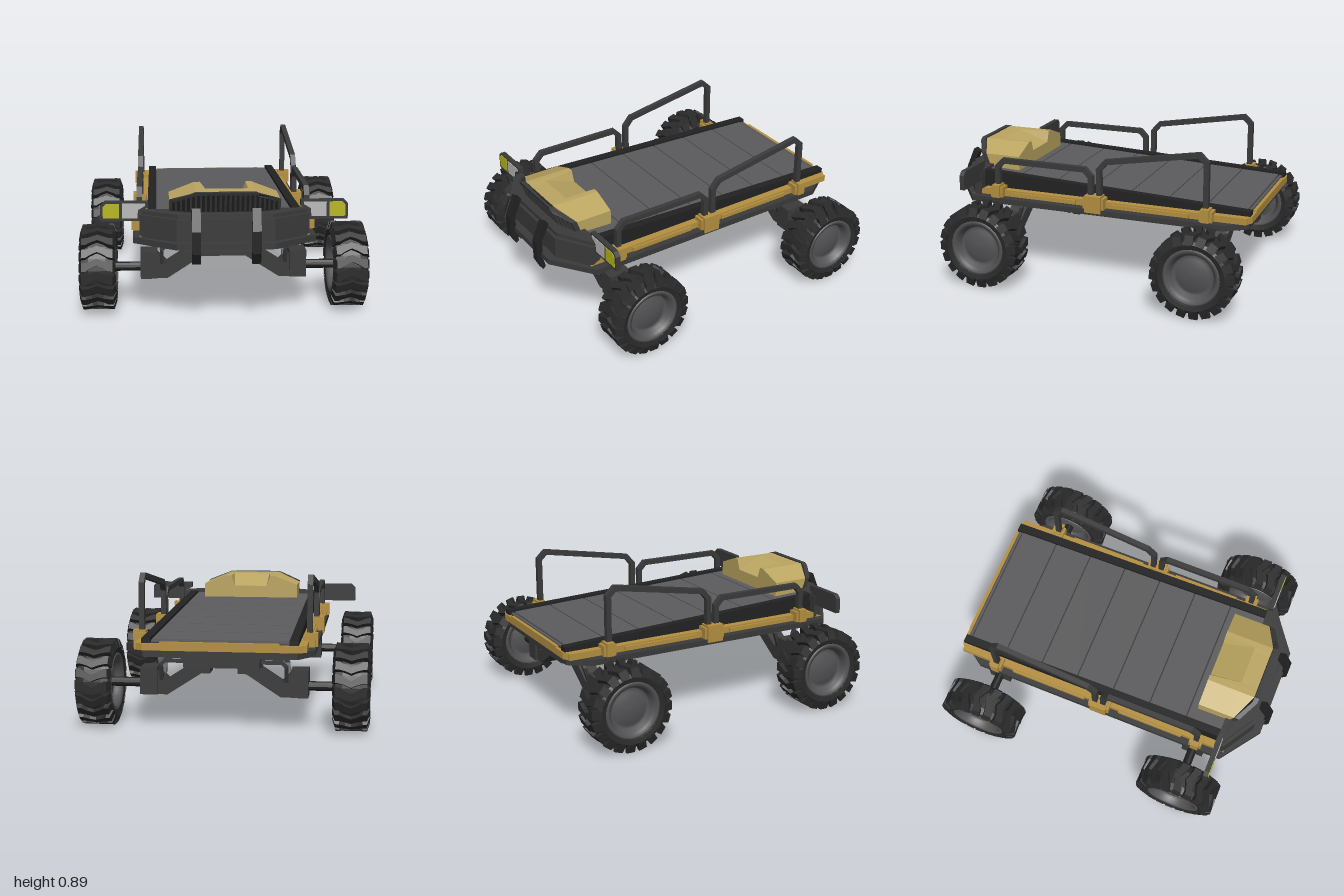
import * as THREE from 'three';

const paint = (color, flat = true) =>
  new THREE.MeshStandardMaterial({ color, flatShading: flat });
const M = {
  dark: paint(0x3a3a3b), black: paint(0x222222), grey: paint(0x5c5c5e), gold: paint(0xb59040),
  hood: paint(0xbca661), yellow: paint(0xb8b81e), white: paint(0xbababa),
  tire: paint(0x2a2a2a), hub: paint(0x545456, false),
};

function add(parent, name, geo, mat, x = 0, y = 0, z = 0) {
  const m = new THREE.Mesh(geo, mat);
  m.name = name;
  m.position.set(x, y, z);
  parent.add(m);
  return m;
}
// Box given by its limits
function block(parent, name, mat, x0, x1, y0, y1, z0, z1) {
  return add(parent, name, new THREE.BoxGeometry(Math.abs(x1 - x0), y1 - y0, z1 - z0), mat,
    (x0 + x1) / 2, (y0 + y1) / 2, (z0 + z1) / 2);
}
const shapeOf = pts => new THREE.Shape(pts.map(p => new THREE.Vector2(...p)));
const mirrored = half => [...half, ...half.map(([x, y]) => [-x, y]).reverse()];
const extrude = (pts, depth, steps = 1) =>
  new THREE.ExtrudeGeometry(shapeOf(pts), { depth, steps, bevelEnabled: false });
// Plan outline of [x, z] points raised in y
function slab(parent, name, mat, pts, y0, y1) {
  const geo = extrude(pts.map(([x, z]) => [x, -z]), y1 - y0).rotateX(-Math.PI / 2);
  return add(parent, name, geo, mat, 0, y0, 0);
}
// Square bent bar: one box per straight run, overlapping at the bends
function bar(parent, name, mat, pts, width) {
  const g = new THREE.Group();
  g.name = name;
  const v = pts.map(p => new THREE.Vector3(...p));
  for (let i = 0; i + 1 < v.length; i++) {
    const d = v[i + 1].clone().sub(v[i]);
    const m = add(g, name + 'Run', new THREE.BoxGeometry(width, d.length() + width * 0.4, width), mat);
    m.position.copy(v[i]).addScaledVector(d, 0.5);
    m.quaternion.setFromUnitVectors(new THREE.Vector3(0, 1, 0), d.normalize());
  }
  parent.add(g);
}
// The deck falls gently to the rear
const deckTop = z => 0.6 + 0.042 * z;
function slopedBox(parent, name, mat, x0, x1, z0, z1, bottom, drop) {
  const geo = new THREE.BoxGeometry(x1 - x0, 1, z1 - z0);
  geo.translate((x0 + x1) / 2, 0, (z0 + z1) / 2);
  const p = geo.attributes.position;
  for (let i = 0; i < p.count; i++) p.setY(i, p.getY(i) > 0 ? deckTop(p.getZ(i)) - drop : bottom);
  geo.computeVertexNormals();
  return add(parent, name, geo, mat);
}

function makeWheel() {
  const wheel = new THREE.Group();
  wheel.name = 'wheel';
  const lathe = (half, n) => new THREE.LatheGeometry(
    [...half.map(([r, h]) => new THREE.Vector2(r, -h)),
      ...half.slice().reverse().map(([r, h]) => new THREE.Vector2(r, h))], n).rotateZ(-Math.PI / 2);
  add(wheel, 'tire', lathe([[0.16, 0.08], [0.172, 0.097], [0.2, 0.103], [0.218, 0.09], [0.228, 0.05]], 40), M.tire);
  add(wheel, 'hub', lathe([[0, 0.066], [0.05, 0.063], [0.1, 0.052], [0.122, 0.04],
    [0.126, 0.06], [0.135, 0.068], [0.14, 0.09], [0.158, 0.1], [0.17, 0.098], [0.172, 0.08]], 32), M.hub);
  // Chunky chevron lugs that wrap over both shoulders
  const geo = new THREE.BoxGeometry(0.2, 0.05, 0.046, 6, 1, 1).translate(0, 0.227, 0);
  const p = geo.attributes.position;
  for (let i = 0; i < p.count; i++) {
    const x = p.getX(i), a = Math.abs(x), top = p.getY(i) > 0.227;
    p.setZ(i, p.getZ(i) * (a < 0.05 ? 0.85 : 1.1) + Math.min(a, 0.07) * 0.45 - 0.016);
    if (a > 0.09) p.setX(i, Math.sign(x) * (top ? 0.09 : 0.107));
  }
  const n = 20;
  for (let i = 0; i < n; i++) add(wheel, 'treadLug', geo, M.tire).rotation.x = (i / n) * Math.PI * 2;
  return wheel;
}

export function createModel() {
  const car = new THREE.Group();
  car.name = 'buggy';

  // Chassis plate, belly and lower spine
  slab(car, 'chassisPlate', M.dark,
    mirrored([[0.28, 0.97], [0.53, 0.79], [0.53, -0.84], [0.44, -0.97]]), 0.45, 0.485);
  add(car, 'belly', extrude(mirrored([[0.12, 0.32], [0.23, 0.37], [0.23, 0.45]]), 0.61), M.dark, 0, 0, -0.31);
  block(car, 'spine', M.dark, -0.22, 0.22, 0.38, 0.45, -0.9, 0.74);
  for (const y of [0.375, 0.41, 0.44])
    block(car, 'noseBar', M.dark, -0.235, 0.235, y - 0.011, y + 0.011, 0.68, 0.78);

  // Sloping deck with planks and edge rails
  slopedBox(car, 'deckBody', M.dark, -0.44, 0.44, -0.97, 0.78, 0.48, 0.024);
  const step = 0.243;
  for (let i = 0; i < 7; i++) {
    const z0 = -0.946 + i * step;
    slopedBox(car, 'deckPlank', M.grey, -0.392, 0.392, z0 + 0.004, Math.min(z0 + step - 0.004, 0.76), 0.5, 0.012);
  }
  slopedBox(car, 'tailPlank', M.grey, -0.392, 0.392, -0.965, -0.95, 0.5, 0.016);

  // Gold trim across the tail
  slab(car, 'tailTrim', M.gold, mirrored([[0.44, -0.99], [0.485, -0.965], [0.485, -0.93], [0.44, -0.96]]), 0.49, 0.53);
  block(car, 'tailTrimLip', M.gold, -0.34, 0.34, 0.495, 0.54, -0.99, -0.97);

  for (const s of [-1, 1]) {
    slopedBox(car, 'deckEdge', M.black, s * 0.42 - 0.025, s * 0.42 + 0.025, -0.98, 0.75, 0.485, 0);

    // Gold side trim with tapered nose
    const trim = extrude([[-0.97, 0.49], [0.8, 0.49], [0.72, 0.53], [-0.97, 0.53]], 0.05).rotateY(-Math.PI / 2);
    add(car, 'sideTrim', trim, M.gold, s * 0.465 + 0.025);
    for (const [z0, z1] of [[0.1, 0.52], [-0.62, -0.13]])
      block(car, 'sideTrimPad', M.gold, s * 0.48, s * 0.502, 0.495, 0.52, z0, z1);

    // Clamps that hold the hand rails
    for (const [z, w, y0] of [[0.62, 0.08, 0.49], [-0.025, 0.135, 0.465], [-0.73, 0.08, 0.49]]) {
      block(car, 'clamp', M.gold, s * 0.455, s * 0.525, y0, 0.555, z - w / 2, z + w / 2);
      block(car, 'clampCap', M.gold, s * 0.465, s * 0.54, y0, 0.57, z - w / 2 + 0.015, z + w / 2 - 0.015);
    }

    // Hand rails
    const x = s * 0.492;
    const rail = pts => bar(car, 'handRail', M.dark, pts.map(([z, y]) => [x, y, z]), 0.032);
    rail([[0.62, 0.5], [0.62, 0.68], [0.58, 0.722], [0.04, 0.722], [0, 0.68], [0, 0.5]]);
    rail([[-0.055, 0.5], [-0.055, 0.73], [-0.1, 0.782], [-0.68, 0.883], [-0.725, 0.84], [-0.725, 0.5]]);

    // Head lamp cluster
    const flip = pts => pts.map(([px, py]) => [px * s, py]);
    const lamp = (name, mat, pts, z, d) => add(car, name, extrude(flip(pts), d), mat, 0, 0, z);
    lamp('lampHousing', M.dark, [[0.44, 0.69], [0.44, 0.655], [0.485, 0.63], [0.49, 0.575], [0.715, 0.575], [0.715, 0.665], [0.69, 0.69]], 0.74, 0.03);
    lamp('indicator', M.yellow, [[0.607, 0.592], [0.7, 0.592], [0.7, 0.658], [0.682, 0.678], [0.607, 0.678]], 0.768, 0.006);
    lamp('headLamp', M.white, [[0.503, 0.592], [0.59, 0.592], [0.59, 0.678], [0.458, 0.678], [0.458, 0.664], [0.498, 0.64]], 0.768, 0.006);
    block(car, 'lampBracket', M.dark, s * 0.4, s * 0.5, 0.59, 0.63, 0.735, 0.765);

    // Bull bar, bowed forward
    const bull = extrude([[0.91, 0.665], [0.945, 0.685], [0.998, 0.56], [0.998, 0.43], [0.965, 0.365],
      [0.945, 0.38], [0.96, 0.44], [0.96, 0.56]].map(([z, y]) => [-z, y]), 0.05).rotateY(Math.PI / 2);
    add(car, 'bullBar', bull, M.black, s * 0.17 - 0.025);

    // Suspension arms, struts, axles and wheels
    for (const z of [0.605, -0.745]) {
      add(car, 'suspensionArm', extrude(flip([[0.08, 0.33], [0.13, 0.33], [0.33, 0.2], [0.42, 0.2], [0.42, 0.34], [0.39, 0.34],
        [0.335, 0.285], [0.22, 0.36], [0.2, 0.4], [0.08, 0.4]]), 0.11), M.dark, 0, 0, z - 0.055);
      block(car, 'axleHousing', M.dark, s * 0.39, s * 0.49, 0.2, 0.36, z - 0.07, z + 0.07);
      for (const dz of [-0.075, 0.075])
        bar(car, 'strut', M.dark, [[s * 0.18, 0.405, z + dz], [s * 0.34, 0.405, z + dz],
          [s * 0.365, 0.38, z + dz], [s * 0.365, 0.29, z + dz * 0.6]], 0.022);
      const axle = new THREE.CylinderGeometry(0.028, 0.028, 0.25, 12).rotateZ(Math.PI / 2);
      add(car, 'axle', axle, M.black, s * 0.575, 0.26, z);
      const wheel = makeWheel();
      wheel.position.set(s * 0.738, 0.26, z);
      wheel.scale.x = s;
      car.add(wheel);
    }
  }

  // Bumper
  slab(car, 'bumper', M.dark, mirrored([[0.28, 0.92], [0.49, 0.79], [0.49, 0.74]]), 0.48, 0.615);
  slab(car, 'bumperTop', M.dark, mirrored([[0.27, 0.9], [0.475, 0.775], [0.475, 0.74]]), 0.61, 0.638);

  // Nose rule: corners swept back, face leaning out toward the top
  const nose = (x, y) => -Math.max(0, Math.abs(x) - 0.2) * 0.42 + (y - 0.758) * 0.35;

  // Hood with a ramp falling to a notch at the rear
  const hoodGeo = extrude(mirrored([[0.32, 0.58], [0.32, 0.7], [0.17, 0.758], [0.135, 0.758], [0.11, 0.69]]), 0.3, 2);
  const hp = hoodGeo.attributes.position;
  for (let i = 0; i < hp.count; i++) {
    const x = hp.getX(i), z = hp.getZ(i);
    if (z < 0.1) continue;
    if (Math.abs(x) < 0.12) hp.setY(i, 0.757);
    hp.setZ(i, z > 0.2 ? 0.3 + nose(x, hp.getY(i)) : 0.195);
  }
  hoodGeo.computeVertexNormals();
  add(car, 'hood', hoodGeo, M.hood, 0, 0, 0.56);

  // Grille panel with frame and slats on the nose
  const outline = [[0.32, 0.62], [0.32, 0.705], [0.2, 0.75], [0.17, 0.762]];
  const inner = [[0.303, 0.63], [0.303, 0.693], [0.2, 0.732], [0.165, 0.745]];
  const bend = geo => {
    const p = geo.attributes.position;
    for (let i = 0; i < p.count; i++) p.setZ(i, p.getZ(i) + nose(p.getX(i), p.getY(i)));
    geo.computeVertexNormals();
    return geo;
  };
  const frame = shapeOf(mirrored(outline));
  frame.holes.push(new THREE.Path(mirrored(inner).map(p => new THREE.Vector2(...p))));
  add(car, 'grilleFrame', bend(new THREE.ExtrudeGeometry(frame, { depth: 0.03, bevelEnabled: false })), M.dark, 0, 0, 0.862);
  // Back panel in three facets so it follows the swept corners
  const facets = [mirrored([[0.2, 0.62], [0.2, 0.75], [0.17, 0.762]]),
    ...[-1, 1].map(s => [[0.2, 0.62], [0.32, 0.62], [0.32, 0.705], [0.2, 0.75]].map(([x, y]) => [s * x, y]))];
  for (const f of facets) add(car, 'grilleBack', bend(extrude(f, 0.014)), M.black, 0, 0, 0.862);
  for (let i = -10; i <= 10; i++) {
    const x = i * 0.028;
    const top = 0.745 - Math.max(0, Math.abs(x) - 0.165) * 0.36;
    const slat = new THREE.BoxGeometry(0.012, top - 0.625, 0.02).translate(x, (top + 0.625) / 2, 0);
    add(car, 'grilleSlat', bend(slat), M.dark, 0, 0, 0.88);
  }
  return car;
}
